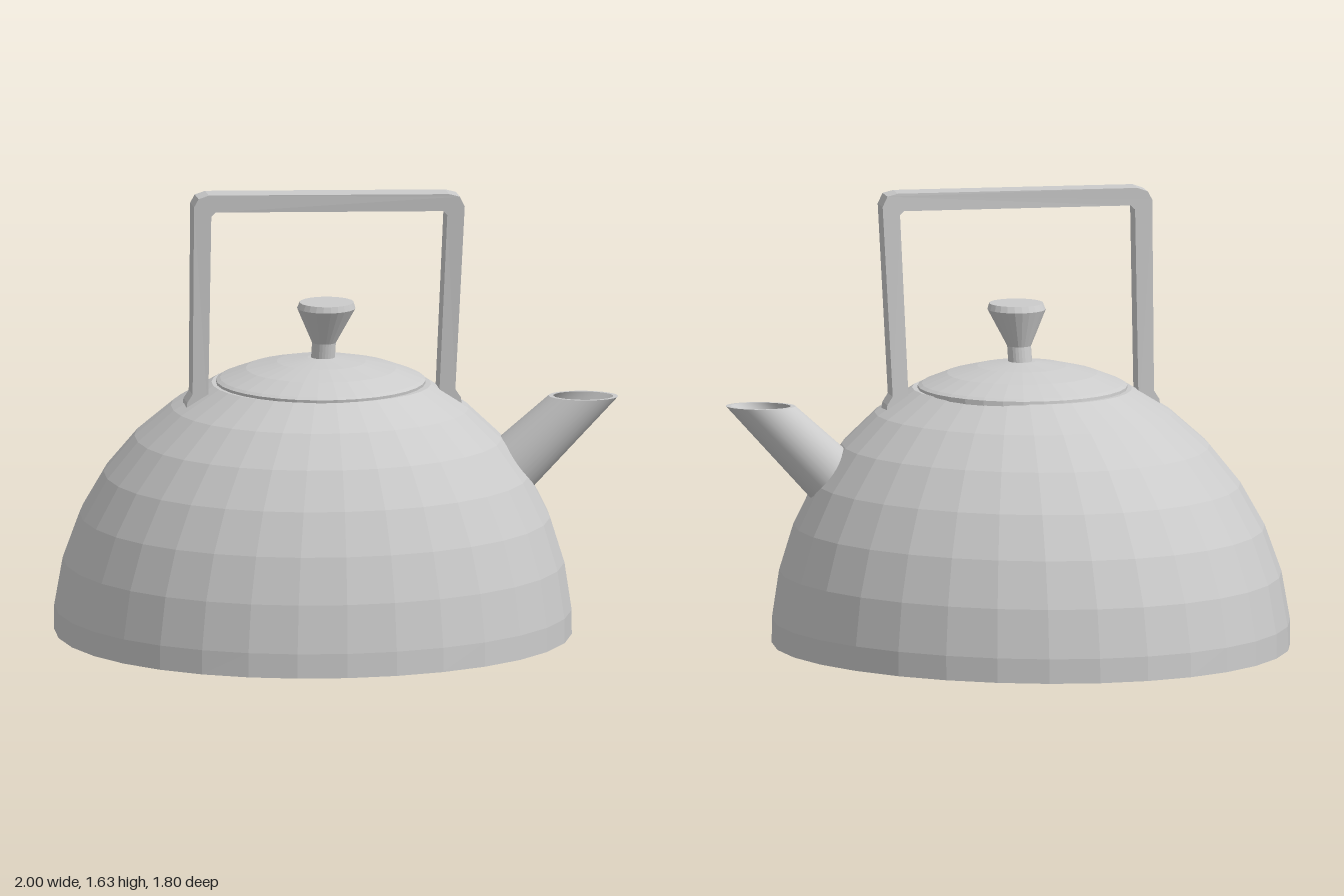
import * as THREE from 'three';

const flat = () => new THREE.MeshStandardMaterial({ color: 0xcccccc, flatShading: true });
const smooth = () => new THREE.MeshStandardMaterial({ color: 0xcccccc });

// Skin over horizontal rings: [y, centreX, centreZ, radiusX, radiusZ];
// outline maps an angle's cosine and sine to a point on the unit ring
function loft(rings, segments, outline = (c, s) => [c, s]) {
  const positions = [], index = [], n = segments + 1;
  rings.forEach(([y, cx, cz, rx, rz]) => {
    for (let j = 0; j <= segments; j++) {
      const a = (j / segments) * Math.PI * 2;
      const [u, v] = outline(Math.cos(a), Math.sin(a));
      positions.push(cx + rx * u, y, cz + rz * v);
    }
  });
  for (let i = 0; i < rings.length - 1; i++) {
    for (let j = 0; j < segments; j++) {
      const a = i * n + j, b = a + n;
      if (rings[i][3] > 0) index.push(a, b, a + 1);
      if (rings[i + 1][3] > 0) index.push(a + 1, b, b + 1);
    }
  }
  const geometry = new THREE.BufferGeometry();
  geometry.setAttribute('position', new THREE.Float32BufferAttribute(positions, 3));
  geometry.setIndex(index);
  geometry.computeVertexNormals();
  return geometry;
}

function addMesh(group, name, geometry, material) {
  const mesh = new THREE.Mesh(geometry, material);
  mesh.name = name;
  group.add(mesh);
}

export function createModel() {
  const kettle = new THREE.Group();
  kettle.name = 'kettle';

  // Domed body: slightly lopsided dome whose upper rings drift forward
  const bodyRings = [[0, -0.08, 0, 0, 0], [0, -0.08, 0, 0.922, 0.9]];
  for (let deg = 5; deg <= 65; deg += 10) {
    const t = THREE.MathUtils.degToRad(deg);
    const y = 1.015 * Math.sin(t), r = Math.cos(t), lean = (y / 0.92) ** 2;
    bodyRings.push([y, -0.08 + 0.02 * lean, 0.085 * lean, 0.925 * r, 0.902 * r]);
  }
  bodyRings.push([0.915, -0.06, 0.085, 0, 0]);
  const lopsided = (c, s) => [c + 0.025 * s - 0.04 * s * s, s + 0.025 * c + 0.05 * c * c];
  addMesh(kettle, 'body', loft(bodyRings, 32, lopsided), flat());

  // Shallow lid with a thin upright rim
  const lidProfile = [[0.91, 0.376], [0.93, 0.376], [0.938, 0.362], [0.974, 0.27], [1.0, 0.16], [1.015, 0.05], [1.016, 0]];
  addMesh(kettle, 'lid', loft(lidProfile.map(([y, r]) =>
    [y, -0.06, 0.088 + 0.15 * (y - 0.92), r, r * 1.01]), 32), flat());

  // Flared knob on a short stem, leaning slightly forward
  const knobProfile = [[0.99, 0.043], [1.07, 0.043], [1.2, 0.105], [1.222, 0.097], [1.222, 0]];
  addMesh(kettle, 'knob', loft(knobProfile.map(([y, r]) =>
    [y, -0.055 + 0.04 * (y - 1), 0.102 + 0.15 * (y - 1), r, r]), 24), flat());

  // Tapered slanting spout, cut level at the mouth and hollow inside
  const spoutRing = (y, wall) => {
    const d = 0.865 - y;
    return [y, 0.874 - d, 0.213 - 0.23 * d, 0.123 + 0.11 * d - wall * 1.3, 0.09 + 0.08 * d - wall];
  };
  const turned = (c, s) => [c, s + 0.18 * c];
  const spout = new THREE.Group();
  spout.name = 'spout';
  addMesh(spout, 'spoutOuter', loft([spoutRing(0.42, 0), spoutRing(0.865, 0)], 32, turned), smooth());
  addMesh(spout, 'spoutRim', loft([spoutRing(0.865, 0), spoutRing(0.865, 0.013)], 32, turned), smooth());
  const floor = spoutRing(0.55, 0);
  addMesh(spout, 'spoutInner', loft([spoutRing(0.865, 0.013), spoutRing(0.55, 0.013),
    [0.55, floor[1], floor[2], 0, 0]], 32, turned), smooth());
  kettle.add(spout);

  // Square bail handle with softened corners and slightly flared feet
  const outline = [
    [-0.56, 0.82], [-0.553, 0.87], [-0.534, 0.9], [-0.533, 1.59], [-0.517, 1.62], [-0.48, 1.633],
    [0.38, 1.627], [0.418, 1.617], [0.436, 1.58], [0.412, 0.9], [0.432, 0.87], [0.44, 0.82],
    [0.352, 0.82], [0.355, 0.9], [0.374, 1.55], [0.36, 1.564],
    [-0.455, 1.57], [-0.471, 1.555], [-0.478, 0.82],
  ];
  const shape = new THREE.Shape(outline.map(([x, y]) => new THREE.Vector2(x, y)));
  const bar = new THREE.ExtrudeGeometry(shape, { depth: 0.088, bevelEnabled: false });
  const p = bar.attributes.position;
  // Turn and lean the flat frame by shifting each point in depth
  for (let i = 0; i < p.count; i++) {
    const x = p.getX(i);
    p.setZ(i, p.getZ(i) + 0.129 + 0.095 * x + (0.066 + 0.055 * x) * (p.getY(i) - 1.6));
  }
  bar.computeVertexNormals();
  addMesh(kettle, 'handle', bar, flat());

  return kettle;
}
